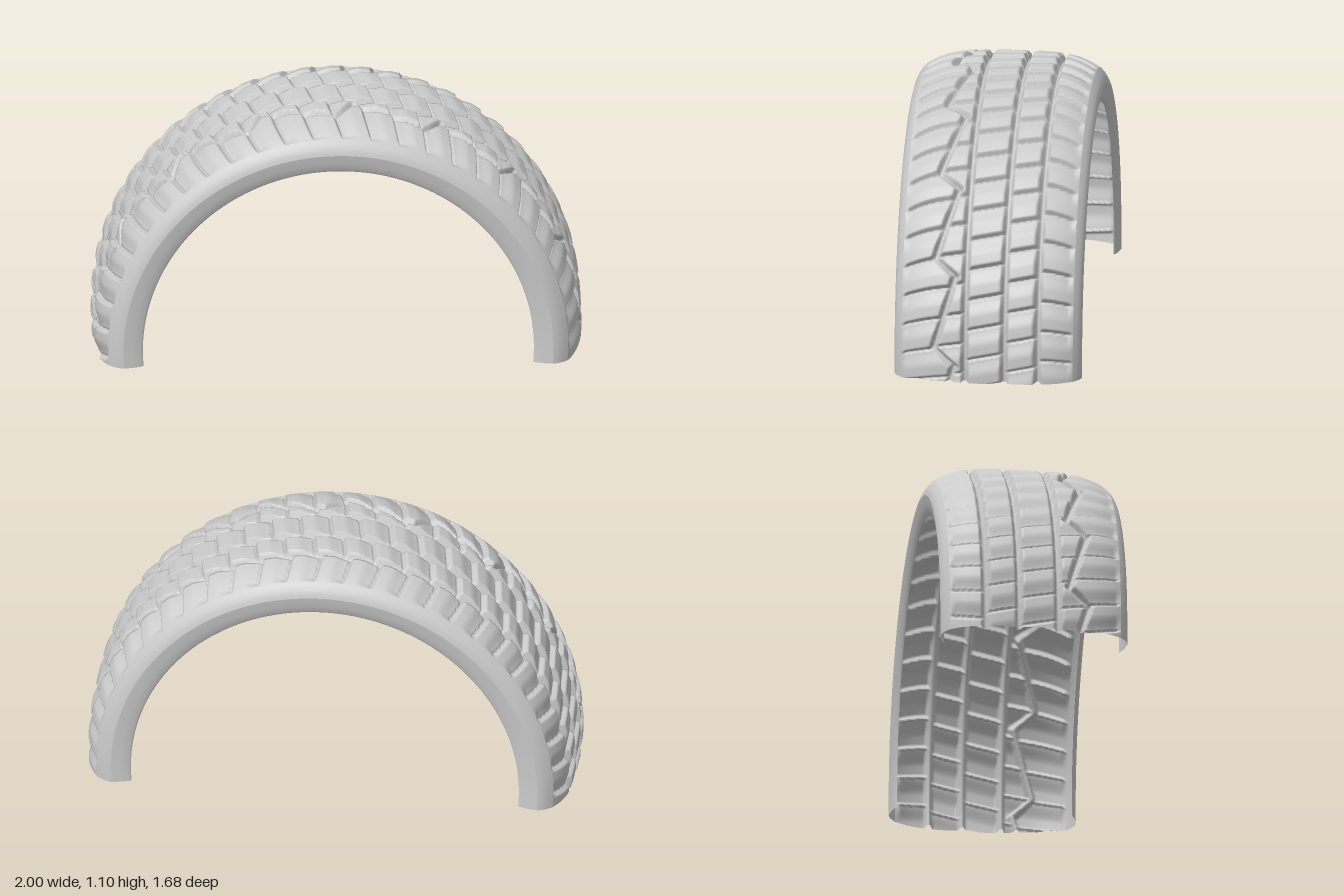
import * as THREE from 'three';

const AXLE_Y = 0.07;         // height of the wheel axis
const HALF = 0.36;           // half width of the tread
const PITCH = Math.PI / 25;  // angle taken by one tread block
const material = new THREE.MeshStandardMaterial({ color: 0xcccccc, side: THREE.DoubleSide });
const smooth = THREE.MathUtils.smoothstep;
const frac = (t) => t - Math.floor(t);

// Crown of the tread: nearly flat, dropping at the shoulders
const crown = (v) => 1.025 - 0.063 * Math.pow(Math.abs(v) / HALF, 4);

// Wandering groove: long slanted runs with short jumps back
function zigzag(a) {
  const t = frac(-a / (PITCH * 3));
  return 0.135 + 0.085 * (t < 0.8 ? t / 0.8 : (1 - t) / 0.2);
}

// Depth of the tread pattern below the crown
const GROOVES = [-0.215, -0.075, 0.09];
function treadDepth(v, a) {
  const zig = zigzag(a);
  let depth = 0;
  for (const g of GROOVES) {
    depth = Math.max(depth, 0.036 * (1 - smooth(Math.abs(v - g), 0.006, 0.018)));
  }
  depth = Math.max(depth, 0.034 * (1 - smooth(Math.abs(v - zig), 0.006, 0.02)));
  // Rows of blocks, each with its own slant and offset
  const row = GROOVES.filter((g) => v > g).length + (v > zig ? 1 : 0);
  const slant = [2.2, 1.6, 1.6, 1.2, -1.4][row];
  const start = [0, 0.35, 0.7, 0.15, 0.5][row];
  const bend = row === 0 || row === 4 ? 6 * v * v : 0;
  const t = frac(a / PITCH + start + slant * v + bend);
  const cut = 0.024 * (1 - smooth(t, 0.03, 0.16)) + 0.016 * smooth(t, 0.45, 1);
  depth = Math.max(depth, cut);
  return depth * (1 - smooth(Math.abs(v), 0.335, HALF));
}

// Sweeps a profile of [across, radius] points over the arch, cut flat at y = 0
function sweep(name, profile, steps, depth = () => 0) {
  const positions = [];
  const index = [];
  const n = profile.length;
  for (let i = 0; i <= steps; i++) {
    for (const [v, r] of profile) {
      const a0 = -Math.asin(AXLE_Y / r);
      const a = a0 + (i / steps) * (Math.PI - 2 * a0);
      const rr = r - depth(v, a);
      positions.push(rr * Math.cos(a), Math.max(0, AXLE_Y + rr * Math.sin(a)), v);
    }
  }
  for (let i = 0; i < steps; i++) {
    for (let j = 0; j < n - 1; j++) {
      const p = i * n + j;
      index.push(p, p + n, p + 1, p + 1, p + n, p + n + 1);
    }
  }
  const geometry = new THREE.BufferGeometry();
  geometry.setAttribute('position', new THREE.Float32BufferAttribute(positions, 3));
  geometry.setIndex(index);
  geometry.computeVertexNormals();
  const mesh = new THREE.Mesh(geometry, material);
  mesh.name = name;
  return mesh;
}

export function createModel() {
  const tyre = new THREE.Group();
  tyre.name = 'halfTyre';

  // Tread with grooves and pillowed blocks
  const columns = 96;
  const treadProfile = Array.from({ length: columns + 1 }, (_, j) => {
    const v = -HALF + (2 * HALF * j) / columns;
    return [v, crown(v)];
  });
  tyre.add(sweep('tread', treadProfile, 600, treadDepth));

  // Rounded sidewalls and the inward-leaning beads below them
  const wall = [[HALF, 0.962], [0.373, 0.947], [0.383, 0.932], [0.39, 0.917], [0.394, 0.9]];
  const bead = [[0.394, 0.9], [0.387, 0.86], [0.376, 0.826], [0.368, 0.818]];
  for (const side of [1, -1]) {
    const label = side > 0 ? 'front' : 'rear';
    const mirror = (pts) => (side > 0 ? pts : pts.map(([v, r]) => [-v, r]).reverse());
    tyre.add(sweep(label + 'Sidewall', mirror(wall), 160));
    tyre.add(sweep(label + 'Bead', mirror(bead), 160));
  }

  // The arch stands turned about the vertical
  tyre.rotation.y = THREE.MathUtils.degToRad(34);
  const model = new THREE.Group();
  model.name = 'tyreArch';
  model.add(tyre);
  return model;
}
